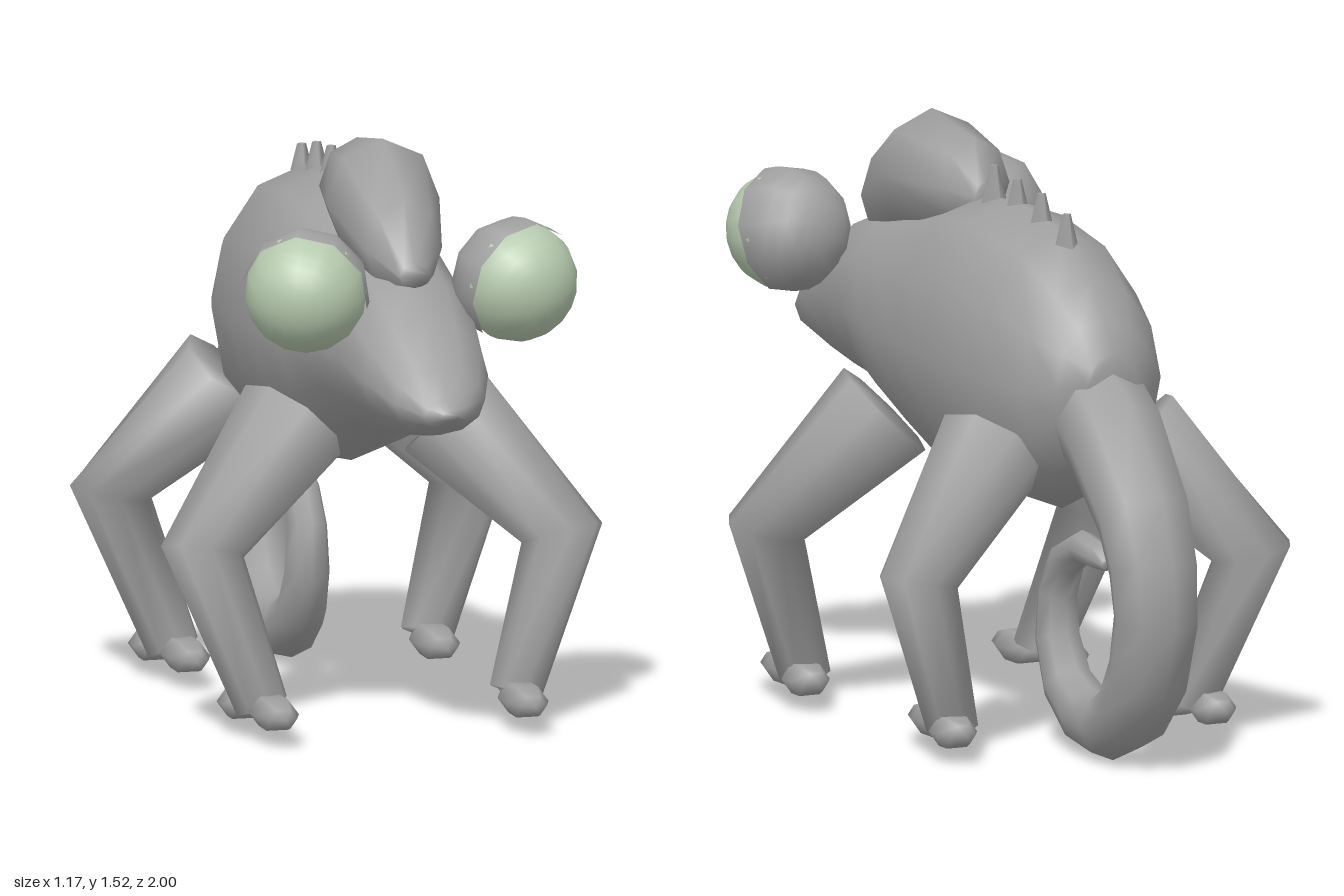
import * as THREE from 'three';

// Smooth skin over elliptical rings [x, y, z, halfWidth, halfDepth], from one end to the other.
// With a fixed axis all rings are parallel, otherwise they follow the path.
function loft(rings, sides, axis) {
  const pos = [], idx = [], n = rings.length;
  const centres = rings.map(r => new THREE.Vector3(r[0], r[1], r[2]));
  const dir = (a, b) => centres[b].clone().sub(centres[a]).normalize();
  rings.forEach((r, i) => {
    const t = new THREE.Vector3();
    if (axis) t.copy(axis);
    else {
      if (i > 0) t.add(dir(i - 1, i));
      if (i < n - 1) t.add(dir(i, i + 1));
      t.normalize();
    }
    const u = new THREE.Vector3(1, 0, 0).addScaledVector(t, -t.x).normalize();
    const v = t.clone().cross(u);
    for (let j = 0; j < sides; j++) {
      const a = j / sides * Math.PI * 2;
      const p = centres[i].clone()
        .addScaledVector(u, Math.cos(a) * r[3])
        .addScaledVector(v, Math.sin(a) * (r[4] ?? r[3]));
      pos.push(p.x, p.y, p.z);
    }
  });
  for (let i = 0; i < n - 1; i++) {
    for (let j = 0; j < sides; j++) {
      const a = i * sides + j, b = i * sides + (j + 1) % sides;
      idx.push(a, b, b + sides, a, b + sides, a + sides);
    }
  }
  const last = (n - 1) * sides;
  for (let j = 1; j < sides - 1; j++) {
    idx.push(0, j + 1, j, last, last + j, last + j + 1);
  }
  const g = new THREE.BufferGeometry();
  g.setAttribute('position', new THREE.Float32BufferAttribute(pos, 3));
  g.setIndex(idx);
  g.computeVertexNormals();
  return g;
}

export function createModel() {
  const model = new THREE.Group();
  model.name = 'lizard';
  const skin = new THREE.MeshStandardMaterial({ color: 0xa0a0a0 });
  skin.name = 'grey skin';
  const iris = new THREE.MeshStandardMaterial({ color: 0xb6caae });
  iris.name = 'pale green eye';

  const add = (name, geometry, material = skin, parent = model) => {
    const mesh = new THREE.Mesh(geometry, material);
    mesh.name = name;
    parent.add(mesh);
    return mesh;
  };
  const forward = new THREE.Vector3(0, 0, 1);

  // Body and head in one skin: [z, bottom, top, half width]
  const profile = [
    [-0.645, 0.9, 1.05, 0.07], [-0.6, 0.8, 1.13, 0.14], [-0.52, 0.69, 1.22, 0.2],
    [-0.36, 0.605, 1.32, 0.245], [-0.1, 0.61, 1.36, 0.265], [0.08, 0.635, 1.34, 0.262],
    [0.27, 0.7, 1.28, 0.245], [0.46, 0.785, 1.245, 0.215], [0.62, 0.8, 1.215, 0.19],
    [0.77, 0.825, 1.12, 0.165], [0.9, 0.85, 1.02, 0.12], [0.97, 0.88, 0.95, 0.06],
    [1.0, 0.905, 0.93, 0.02],
  ];
  add('body', loft(profile.map(([z, lo, hi, w]) =>
    [0, (lo + hi) / 2, z, w, (hi - lo) / 2]), 12, forward));

  // Helmet crest
  add('crest', loft([
    [0, 1.34, 0.07, 0.03, 0.04], [0, 1.36, 0.13, 0.1, 0.12], [0, 1.36, 0.37, 0.15, 0.16],
    [0, 1.27, 0.57, 0.1, 0.13], [0, 1.22, 0.67, 0.04, 0.03],
  ], 8, forward));

  // Back spikes
  [[0.02, 1.43], [-0.11, 1.415], [-0.245, 1.4], [-0.385, 1.37]].forEach(([z, top]) => {
    const spike = add('backSpike', new THREE.CylinderGeometry(0.012, 0.04, 0.11, 4));
    spike.position.set(0, top - 0.055, z);
  });

  // Curled tail: [y, z, radius]
  const tail = [
    [0.95, -0.46, 0.14], [0.83, -0.66, 0.135], [0.66, -0.815, 0.125], [0.53, -0.87, 0.118],
    [0.4, -0.885, 0.112], [0.25, -0.84, 0.107], [0.14, -0.75, 0.098], [0.085, -0.63, 0.086],
    [0.095, -0.5, 0.076], [0.16, -0.39, 0.067], [0.27, -0.335, 0.06], [0.39, -0.335, 0.053],
    [0.48, -0.39, 0.048], [0.525, -0.48, 0.043], [0.515, -0.57, 0.036], [0.5, -0.615, 0.018],
  ];
  add('tail', loft(tail.map(([y, z, r]) => [0, y, z, r]), 8));

  for (const s of [1, -1]) {
    const side = s > 0 ? 'left' : 'right';

    // Eyeball: grey lid behind, pale green cap facing forward and outward
    const eye = new THREE.Group();
    eye.name = side + 'Eye';
    eye.position.set(s * 0.278, 1.187, 0.635);
    eye.quaternion.setFromUnitVectors(new THREE.Vector3(0, 1, 0),
      new THREE.Vector3(s * 0.4, -0.22, 0.89).normalize());
    model.add(eye);
    const split = 1.42;
    add('eyeLid', new THREE.SphereGeometry(0.164, 10, 6, 0, Math.PI * 2, split, Math.PI - split),
      skin, eye);
    add('eyeCap', new THREE.SphereGeometry(0.156, 16, 8, 0, Math.PI * 2, 0, split + 0.15),
      iris, eye);

    // Legs: thigh, knee, ankle
    const legs = {
      Front: [[0.2, 0.78, 0.24, 0.15, 0.145], [0.475, 0.475, 0.365, 0.11, 0.09],
        [0.335, 0.08, 0.425, 0.07, 0.075]],
      Hind: [[0.2, 0.78, -0.36, 0.15, 0.145], [0.475, 0.475, -0.49, 0.11, 0.095],
        [0.335, 0.08, -0.4, 0.07, 0.075]],
    };
    for (const [place, path] of Object.entries(legs)) {
      const leg = new THREE.Group();
      leg.name = side + place + 'Leg';
      model.add(leg);
      add('limb', loft(path.map(([x, ...rest]) => [s * x, ...rest]), 8), skin, leg);

      // Toes: long one forward, short one backward
      const z = path[2][2];
      [['frontToe', 0.33, 0.09, 0.12], ['backToe', 0.37, -0.075, 0.075]]
        .forEach(([name, x, dz, len]) => {
          const g = new THREE.SphereGeometry(1, 6, 5);
          g.rotateX(Math.PI / 2);
          g.scale(0.06, 0.047, len);
          add(name, g, skin, leg).position.set(s * x, 0.078, z + dz);
        });
    }
  }
  return model;
}
